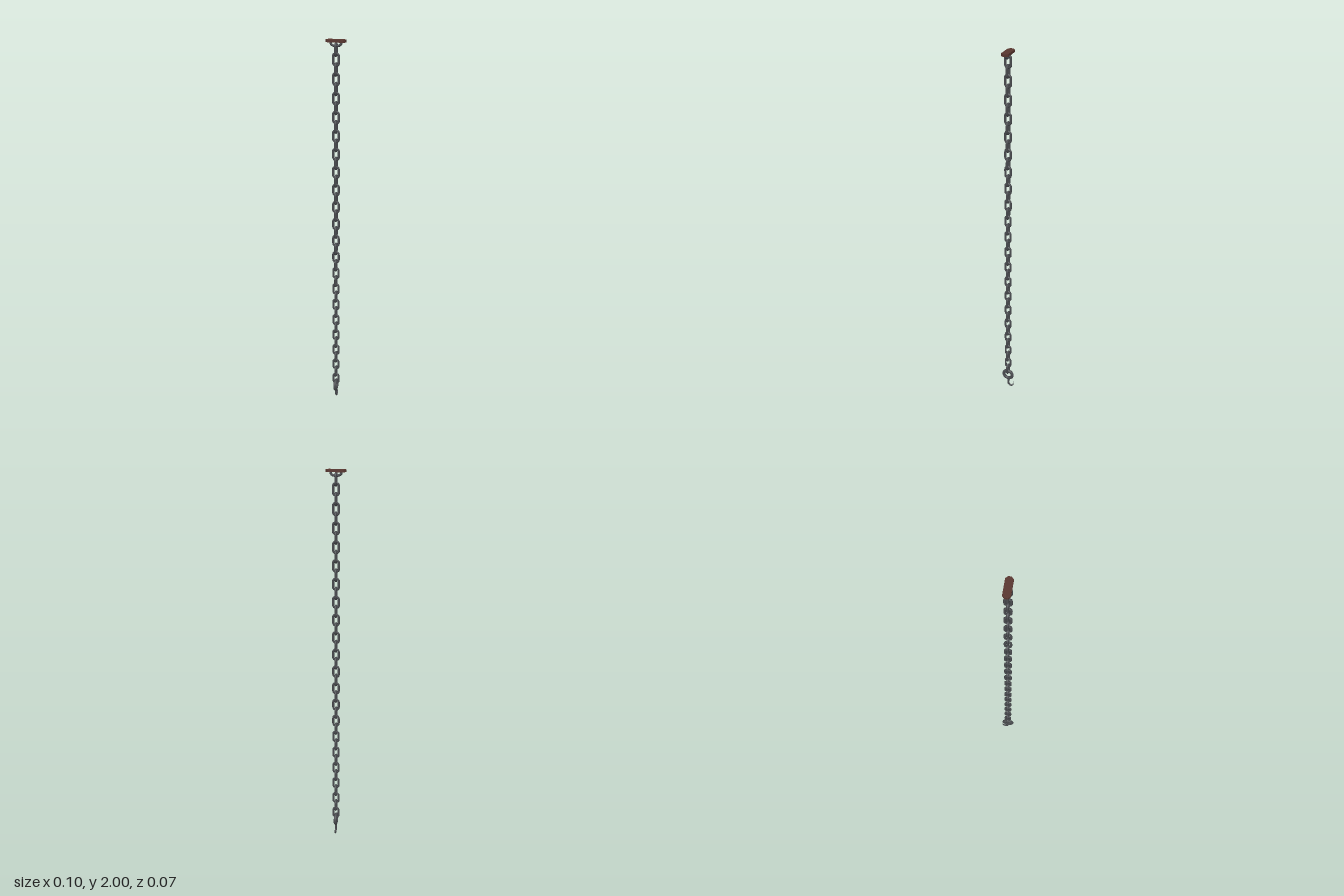
import * as THREE from 'three';

const PITCH = 0.0469, LINKS = 40, TOP_LINK_Y = 1.953, WIRE = 0.006;

const iron = new THREE.MeshStandardMaterial({ color: 0x4a4c50 });
const rust = new THREE.MeshStandardMaterial({ color: 0x58362f });

function addMesh(parent, name, geometry, material) {
  const mesh = new THREE.Mesh(geometry, material);
  mesh.name = name;
  parent.add(mesh);
  return mesh;
}

// Closed stadium outline in the XY plane: two straights and two half circles
class LinkCurve extends THREE.Curve {
  constructor(radius, half) {
    super();
    this.radius = radius;
    this.half = half;
  }
  getPoint(t, target = new THREE.Vector3()) {
    const { radius: r, half: h } = this;
    const arc = Math.PI * r, total = 2 * arc + 4 * h;
    let d = (t % 1) * total;
    const sign = d < total / 2 ? 1 : -1;
    if (sign < 0) d -= total / 2;
    if (d < 2 * h) return target.set(sign * r, sign * (d - h), 0);
    const a = (d - 2 * h) / r;
    return target.set(sign * r * Math.cos(a), sign * (h + r * Math.sin(a)), 0);
  }
}

// Tube whose radius follows a function of the position along it
function taperedTube(curve, segments, sides, radiusAt) {
  const geometry = new THREE.TubeGeometry(curve, segments, 1, sides, false);
  const pos = geometry.attributes.position, v = new THREE.Vector3();
  for (let i = 0; i < pos.count; i++) {
    const t = Math.floor(i / (sides + 1)) / segments;
    const centre = curve.getPointAt(t);
    v.fromBufferAttribute(pos, i).sub(centre).multiplyScalar(radiusAt(t)).add(centre);
    pos.setXYZ(i, v.x, v.y, v.z);
  }
  geometry.computeVertexNormals();
  return geometry;
}

export function createModel() {
  const model = new THREE.Group();
  model.name = 'hangingChain';
  model.position.z = 0.001;

  // Ceiling plate with cut corners
  const w = 0.049, d = 0.018, c = 0.011;
  const outline = new THREE.Shape([
    [-w, -d + c], [-w + c, -d], [w - c, -d], [w, -d + c],
    [w, d - c], [w - c, d], [-w + c, d], [-w, d - c],
  ].map(([x, y]) => new THREE.Vector2(x, y)));
  const plate = addMesh(model, 'ceilingPlate',
    new THREE.ExtrudeGeometry(outline, { depth: 0.012, bevelEnabled: false }), rust);
  plate.rotation.x = -Math.PI / 2;
  plate.position.y = 1.988;

  // Staple under the plate that carries the first link
  const staple = new THREE.CatmullRomCurve3([
    [-0.027, 1.992], [-0.025, 1.98], [-0.015, 1.972], [0, 1.971],
    [0.015, 1.972], [0.025, 1.98], [0.027, 1.992],
  ].map(([x, y]) => new THREE.Vector3(x, y, 0)));
  addMesh(model, 'staple', new THREE.TubeGeometry(staple, 20, WIRE, 8), iron);

  // Chain: every second link is turned a quarter
  const chain = new THREE.Group();
  chain.name = 'chain';
  model.add(chain);
  const linkGeometry = new THREE.TubeGeometry(new LinkCurve(0.0145, 0.0145), 28, WIRE, 8, true);
  for (let i = 0; i < LINKS; i++) {
    const link = addMesh(chain, 'link', linkGeometry, iron);
    link.position.y = TOP_LINK_Y - i * PITCH;
    link.rotation.y = i % 2 ? 0 : Math.PI / 2;
  }

  // Ring at the lower end
  const ring = addMesh(model, 'ring', new THREE.TorusGeometry(0.026, 0.009, 10, 28), iron);
  ring.rotation.y = Math.PI / 2;
  ring.position.y = 0.082;

  // Hook curling to the back, thinning to a point
  const hookCurve = new THREE.CatmullRomCurve3([
    [0.055, 0], [0.038, -0.002], [0.02, -0.002], [0.009, -0.008], [0.005, -0.018],
    [0.009, -0.028], [0.02, -0.033], [0.037, -0.036],
  ].map(([y, z]) => new THREE.Vector3(0, y, z)));
  addMesh(model, 'hook', taperedTube(hookCurve, 28, 8,
    (t) => (t < 0.6 ? 0.0065 - 0.0025 * t : 0.005 * (1 - t) / 0.4 + 0.0003)), iron);

  return model;
}
